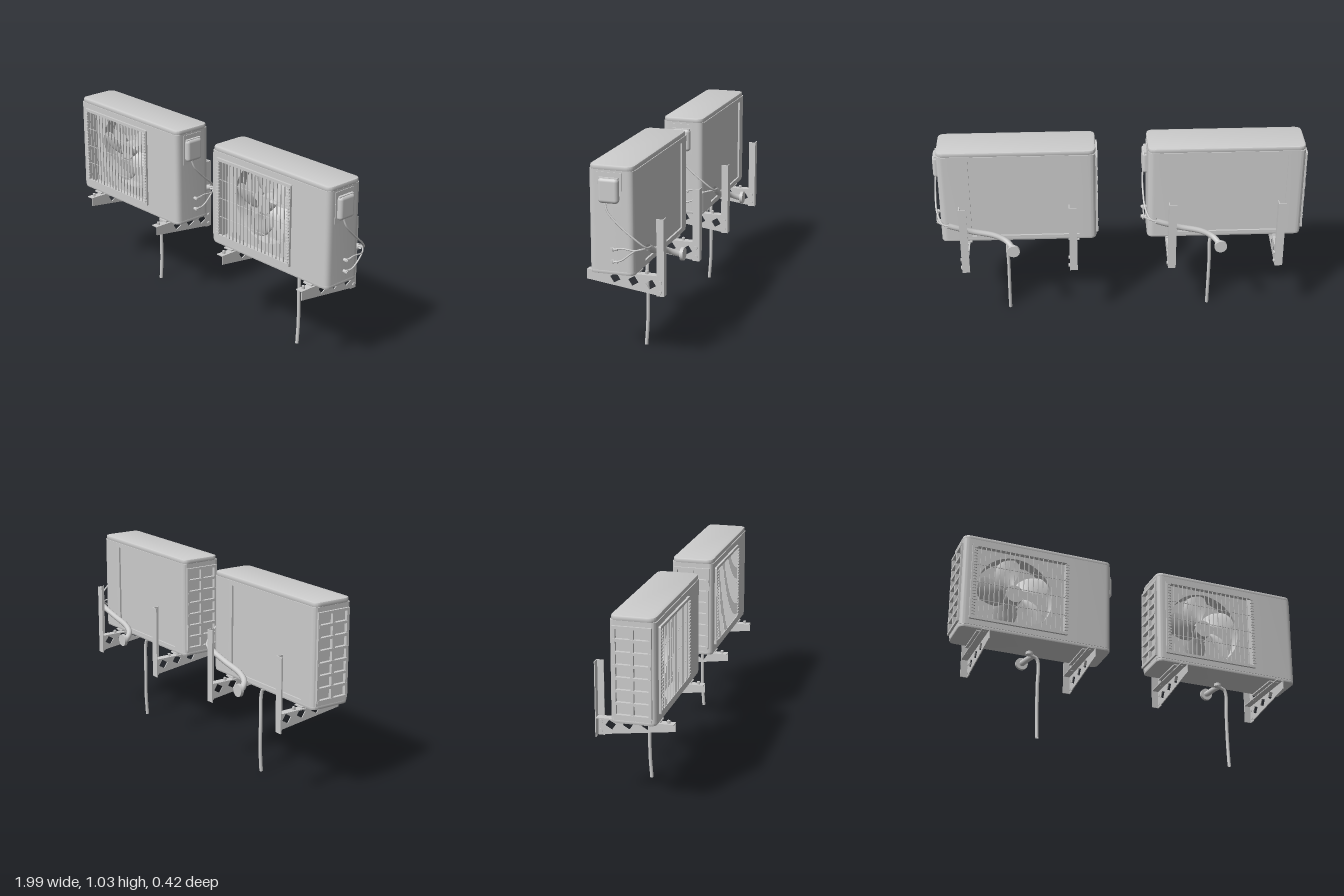
import * as THREE from 'three';
import { toCreasedNormals } from 'three/addons/utils/BufferGeometryUtils.js';
import { RoundedBoxGeometry } from 'three/addons/geometries/RoundedBoxGeometry.js';

const paint = new THREE.MeshStandardMaterial({ color: 0xcccccc, side: THREE.DoubleSide });
paint.name = 'light grey paint';

function add(parent, name, geometry, x = 0, y = 0, z = 0) {
  const mesh = new THREE.Mesh(geometry, paint);
  mesh.name = name;
  mesh.position.set(x, y, z);
  parent.add(mesh);
  return mesh;
}

// Box given by its limits on each axis
function box(parent, name, x0, x1, y0, y1, z0, z1) {
  return add(parent, name, new THREE.BoxGeometry(x1 - x0, y1 - y0, z1 - z0),
    (x0 + x1) / 2, (y0 + y1) / 2, (z0 + z1) / 2);
}

// Rectangle shape with a radius for each corner, counter-clockwise from lower left
function roundRect(x0, x1, y0, y1, [a, b, c, d]) {
  const s = new THREE.Shape();
  s.moveTo(x0 + a, y0);
  s.lineTo(x1 - b, y0); s.quadraticCurveTo(x1, y0, x1, y0 + b);
  s.lineTo(x1, y1 - c); s.quadraticCurveTo(x1, y1, x1 - c, y1);
  s.lineTo(x0 + d, y1); s.quadraticCurveTo(x0, y1, x0, y1 - d);
  s.lineTo(x0, y0 + a); s.quadraticCurveTo(x0, y0, x0 + a, y0);
  return s;
}

// Plan outline (x, -z) raised from y0 to y1
function raise(parent, name, shape, y0, y1, bevel = 0) {
  const g = new THREE.ExtrudeGeometry(shape, {
    depth: y1 - y0 - 2 * bevel, curveSegments: 8, bevelEnabled: bevel > 0,
    bevelThickness: bevel, bevelSize: bevel, bevelOffset: -bevel, bevelSegments: 2,
  });
  g.rotateX(-Math.PI / 2);
  return add(parent, name, toCreasedNormals(g, 0.6), 0, y0 + bevel, 0);
}

function tube(parent, name, points, radius, segments = 32) {
  const curve = new THREE.CatmullRomCurve3(points.map(p => new THREE.Vector3(...p)), false, 'centripetal');
  return add(parent, name, new THREE.TubeGeometry(curve, segments, radius, 10));
}

// Cylinder lying along the chosen axis
function rod(parent, name, axis, radius, length, x, y, z, sides = 16) {
  const g = new THREE.CylinderGeometry(radius, radius, length, sides);
  if (axis === 'x') g.rotateZ(Math.PI / 2);
  if (axis === 'z') g.rotateX(Math.PI / 2);
  return add(parent, name, g, x, y, z);
}

function addCasing(unit) {
  const g = new THREE.Group();
  g.name = 'casing';
  unit.add(g);
  // Closed compressor compartment with a step for the rear coil
  const s = new THREE.Shape();
  s.moveTo(0.165, -0.153);
  s.lineTo(0.375, -0.153); s.quadraticCurveTo(0.4125, -0.153, 0.4125, -0.115);
  s.lineTo(0.4125, 0.045); s.quadraticCurveTo(0.4125, 0.08, 0.375, 0.08);
  s.lineTo(0.2475, 0.08); s.lineTo(0.2475, 0.066); s.lineTo(0.165, 0.066);
  raise(g, 'compressorCompartment', s, 0.505, 1.01);
  // Corner posts of the open end
  raise(g, 'frontPost', roundRect(-0.4255, -0.38, -0.153, -0.125, [0.03, 0, 0, 0]), 0.505, 1.01);
  raise(g, 'rearPost', roundRect(-0.4255, -0.3325, 0.055, 0.08, [0, 0, 0, 0.03]), 0.505, 1.01);
  // Lid and base tray
  raise(g, 'lid', roundRect(-0.4255, 0.4125, -0.149, 0.076, [0.04, 0.04, 0.04, 0.04]), 1.005, 1.033, 0.006);
  raise(g, 'baseTray', roundRect(-0.4255, 0.4125, -0.15, 0.077, [0.035, 0.035, 0.035, 0.035]), 0.488, 0.51, 0.004);
  // Rails above and below the front and rear openings
  box(g, 'frontTopRail', -0.39, 0.17, 0.978, 1.01, 0.135, 0.153);
  box(g, 'frontBottomRail', -0.39, 0.17, 0.505, 0.537, 0.135, 0.153);
  box(g, 'rearTopRail', -0.34, 0.25, 0.985, 1.01, -0.08, -0.062);
  box(g, 'rearBottomRail', -0.34, 0.25, 0.505, 0.52, -0.08, -0.062);
  box(g, 'rearCoil', -0.335, 0.25, 0.515, 0.99, -0.07, -0.058);
  // Grid on the open end, with the coil behind it
  box(g, 'sideCoil', -0.41, -0.402, 0.51, 1.005, -0.06, 0.13);
  for (let i = 0; i <= 7; i++) {
    const y = 0.53 + i * 0.064;
    box(g, 'sideGridBar', -0.437, -0.418, y - 0.007, y + 0.007, -0.06, 0.13);
  }
  for (const z of [-0.055, 0.035, 0.125]) box(g, 'sideGridPost', -0.435, -0.418, 0.523, 0.985, z - 0.008, z + 0.008);
  box(g, 'sideTopRail', -0.4255, -0.41, 0.98, 1.01, -0.06, 0.13);
  box(g, 'sideBottomRail', -0.4255, -0.41, 0.505, 0.53, -0.06, 0.13);
}

function addFan(unit) {
  const cx = -0.1125, cy = 0.77, fan = new THREE.Group();
  fan.name = 'fan';
  fan.position.set(cx, cy, 0.045);
  unit.add(fan);
  // Shroud plate with a round opening
  const plate = roundRect(-0.275, 0.28, -0.26, 0.235, [0, 0, 0, 0]);
  plate.holes.push(new THREE.Path().absarc(0, 0, 0.213, 0, Math.PI * 2, true));
  add(fan, 'shroudPlate', new THREE.ExtrudeGeometry(plate, { depth: 0.006, bevelEnabled: false, curveSegments: 32 }), 0, 0, 0.02);
  const ring = new THREE.CylinderGeometry(0.213, 0.213, 0.07, 48, 1, true).rotateX(Math.PI / 2);
  add(fan, 'shroudRing', ring, 0, 0, -0.01);
  rod(fan, 'fanHub', 'z', 0.05, 0.06, 0, 0, 0, 24);
  rod(fan, 'motor', 'z', 0.06, 0.06, 0, 0, -0.06, 24);
  // Swept, pitched blades
  for (let i = 0; i < 5; i++) {
    const blade = new THREE.PlaneGeometry(1, 1, 10, 10), p = blade.attributes.position;
    for (let k = 0; k < p.count; k++) {
      const u = p.getX(k), v = p.getY(k) + 0.5;
      const r = 0.045 + 0.16 * v - 0.05 * v * Math.pow(Math.abs(u * 2), 4);
      const a = u * (0.8 + 0.25 * Math.sin(v * Math.PI)) - 0.4 * v;
      p.setXYZ(k, r * Math.cos(a), r * Math.sin(a), -u * 0.055 + 0.018 * Math.cos(u * Math.PI) * v);
    }
    blade.computeVertexNormals();
    add(fan, 'fanBlade', blade).rotation.z = 0.95 + i * Math.PI * 0.4;
  }
}

function addGrille(unit) {
  const g = new THREE.Group();
  g.name = 'frontGrille';
  unit.add(g);
  const frame = roundRect(-0.38, 0.165, 0.535, 0.98, [0.008, 0.008, 0.008, 0.008]);
  frame.holes.push(new THREE.Path([[-0.358, 0.55], [-0.358, 0.965], [0.148, 0.965], [0.148, 0.55]].map(p => new THREE.Vector2(...p))));
  add(g, 'grilleFrame', new THREE.ExtrudeGeometry(frame, { depth: 0.014, bevelEnabled: false }), 0, 0, 0.151);
  for (let i = 1; i < 19; i++) {
    const x = -0.358 + i * 0.506 / 19;
    box(g, 'grilleWire', x - 0.002, x + 0.002, 0.545, 0.97, 0.158, 0.163);
  }
  for (let i = 1; i < 4; i++) box(g, 'grilleCrossWire', -0.36, 0.15, 0.548 + i * 0.104, 0.551 + i * 0.104, 0.155, 0.158);
  // Short ribs along both sides
  for (let i = 0; i < 24; i++) {
    const y = 0.558 + i * 0.0172;
    for (const x of [-0.362, 0.152]) box(g, 'grilleRib', x - 0.009, x + 0.009, y, y + 0.007, 0.16, 0.17);
  }
}

// Wall bracket: slotted arm, flanges, upright and bolts
function addBracket(unit, x0) {
  const g = new THREE.Group(), x1 = x0 + 0.042;
  g.name = 'wallBracket';
  unit.add(g);
  const web = new THREE.Shape([[-0.21, 0.463], [-0.21, 0.414], [0.194, 0.36], [0.194, 0.463]].map(p => new THREE.Vector2(...p)));
  for (const [z, y] of [[0.06, 0.433], [-0.035, 0.427], [-0.126, 0.417]]) {
    const d = [[-0.028, 0.006], [0.007, 0.026], [0.028, -0.006], [-0.007, -0.026]];
    web.holes.push(new THREE.Path(d.map(([a, b]) => new THREE.Vector2(a - z, b + y))));
  }
  const geo = new THREE.ExtrudeGeometry(web, { depth: 0.005, bevelEnabled: false }).rotateY(Math.PI / 2);
  add(g, 'bracketArm', geo, x1 - 0.005, 0, 0);
  box(g, 'armFlange', x0, x1, 0.459, 0.464, -0.194, 0.21);
  box(g, 'uprightBack', x0, x1, 0.36, 0.755, -0.194, -0.189);
  box(g, 'uprightSide', x1 - 0.005, x1, 0.36, 0.755, -0.194, -0.156);
  box(g, 'footRail', x0 - 0.012, x1 + 0.004, 0.474, 0.481, -0.07, 0.148);
  for (const z of [0.1, -0.03]) rod(g, 'rubberFoot', 'y', 0.013, 0.03, x0 + 0.02, 0.475, z);
  for (const z of [0.18, -0.098]) rod(g, 'armBolt', 'y', 0.009, 0.022, x0 + 0.02, 0.468, z, 6);
  for (const y of [0.433, 0.382]) rod(g, 'uprightBolt', 'x', 0.01, 0.014, x1, y, -0.175, 6);
}

function addConnections(unit) {
  const g = new THREE.Group();
  g.name = 'connections';
  unit.add(g);
  // Electrical cover on the side
  box(g, 'coverPlate', 0.405, 0.416, 0.832, 1.0, -0.02, 0.108);
  add(g, 'terminalCover', new RoundedBoxGeometry(0.044, 0.125, 0.105, 4, 0.018), 0.418, 0.912, 0.043);
  box(g, 'coverLip', 0.41, 0.43, 0.966, 0.976, -0.006, 0.092);
  // Two valves and their thin pipes
  for (const y of [0.62, 0.558]) {
    rod(g, 'valveBody', 'x', 0.009, 0.035, 0.425, y, 0.027);
    rod(g, 'valveNut', 'x', 0.012, 0.01, 0.432, y, 0.027, 6);
    rod(g, 'valvePort', 'z', 0.006, 0.03, 0.43, y + 0.003, 0.012);
    tube(g, 'refrigerantPipe', [[0.43, y, 0.027], [0.433, y + 0.012, -0.02], [0.425, 0.6 + y * 0.04, -0.09], [0.385, 0.63, -0.137], [0.34, 0.625, -0.14]], 0.004);
  }
  tube(g, 'powerCable', [[0.428, 0.85, 0.06], [0.435, 0.81, 0.045], [0.435, 0.75, -0.01], [0.425, 0.68, -0.09], [0.395, 0.635, -0.135], [0.34, 0.625, -0.14]], 0.005);
  // Insulated pipe bundle to the wall
  tube(g, 'insulatedPipe', [[0.37, 0.63, -0.138], [0.32, 0.61, -0.134], [0.24, 0.575, -0.118], [0.12, 0.545, -0.117], [0.06, 0.52, -0.135], [0.025, 0.497, -0.18], [0.0225, 0.497, -0.195]], 0.016, 48);
  rod(g, 'wallSleeve', 'z', 0.034, 0.017, 0.0225, 0.497, -0.2, 24);
  // Drain fitting and hose
  rod(g, 'drainFitting', 'y', 0.02, 0.018, 0.01, 0.481, -0.022);
  tube(g, 'drainHose', [[0.005, 0.478, -0.022], [0.03, 0.468, -0.022], [0.052, 0.456, -0.022], [0.062, 0.425, -0.023], [0.061, 0.3, -0.025], [0.063, 0.12, -0.024], [0.064, 0, -0.016]], 0.0095, 48);
}

export function createModel() {
  const model = new THREE.Group();
  model.name = 'outdoorUnits';
  for (const x of [-0.5575, 0.5575]) {
    const unit = new THREE.Group();
    unit.name = 'outdoorUnit';
    unit.position.x = x;
    addCasing(unit);
    addFan(unit);
    addGrille(unit);
    addBracket(unit, -0.32);
    addBracket(unit, 0.2625);
    addConnections(unit);
    model.add(unit);
  }
  return model;
}
